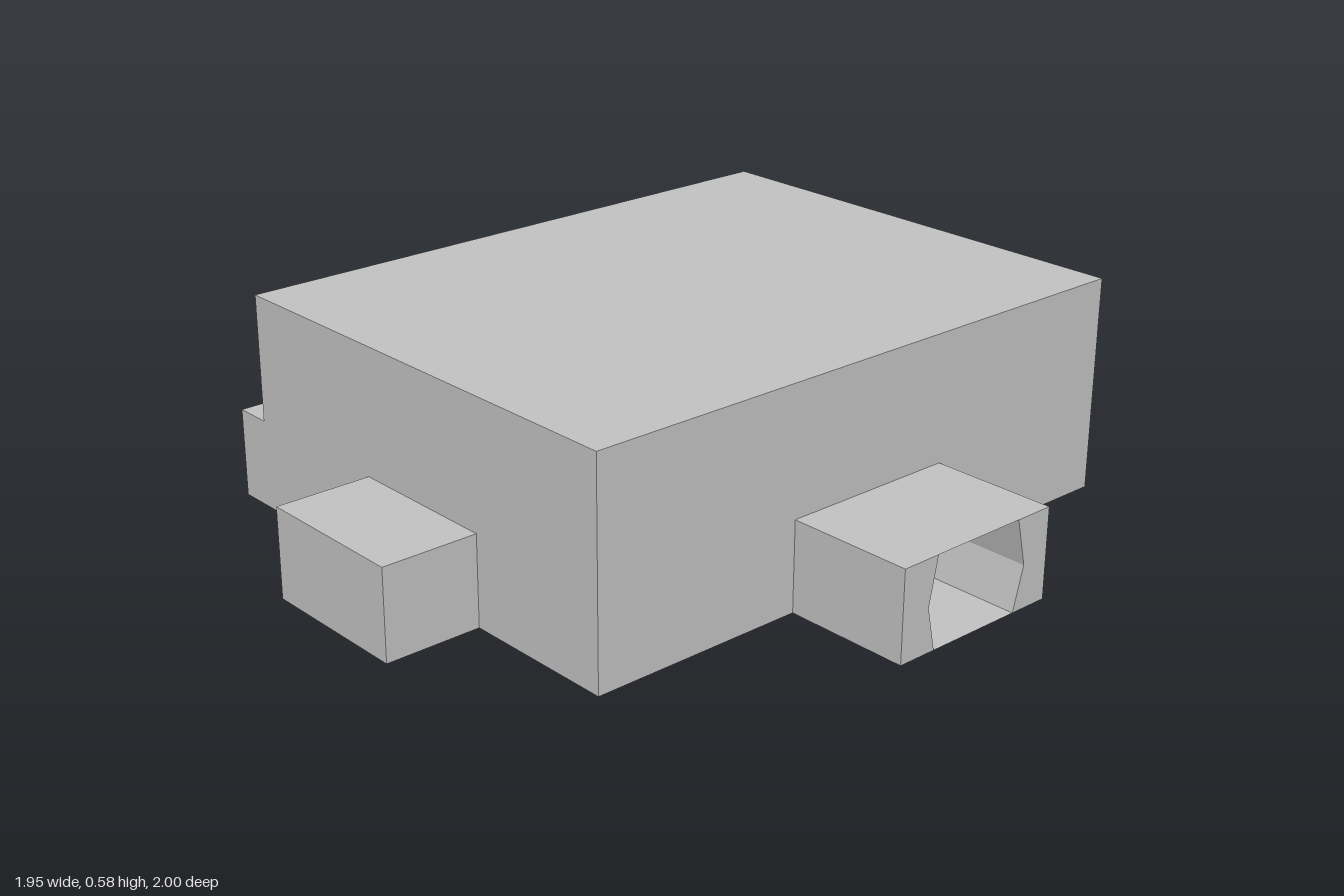
import * as THREE from 'three';

export function createModel() {
  const model = new THREE.Group();
  const grey = new THREE.MeshStandardMaterial({ color: 0xc0c0c0 });
  grey.name = 'plain grey';
  const greySheet = new THREE.MeshStandardMaterial({ color: 0xc0c0c0, side: THREE.DoubleSide });
  greySheet.name = 'plain grey sheet';

  const LOW = 0.24, HIGH = 0.58, MID = 0.115;
  const LEFT = -0.715, RIGHT = 0.97;            // main body sides
  const BACK = -0.655, FRONT = 0.66, STEP = -0.76;
  const PORT = [-0.12, 0.375];                  // port block sides
  // hexagonal passage walls, bottom to top
  const wallA = [[-0.01, 0], [-0.035, MID], [-0.01, LOW]];
  const wallB = [[0.265, 0], [0.295, MID], [0.265, LOW]];

  const add = (name, geometry, material = grey) => {
    const mesh = new THREE.Mesh(geometry, material);
    mesh.name = name;
    model.add(mesh);
    return mesh;
  };

  // extrude a front-facing profile between two depths
  const prism = (name, points, z0, z1) => {
    const shape = new THREE.Shape(points.map(([x, y]) => new THREE.Vector2(x, y)));
    const geometry = new THREE.ExtrudeGeometry(shape, { depth: z1 - z0, bevelEnabled: false });
    add(name, geometry.translate(0, 0, z0));
  };

  // horizontal sheet closing the passage above or below
  const sheet = (name, y, z0, z1) => {
    const [x0, x1] = [wallA[0][0], wallB[0][0]];
    const geometry = new THREE.PlaneGeometry(x1 - x0, z1 - z0).rotateX(-Math.PI / 2);
    add(name, geometry.translate((x0 + x1) / 2, y, (z0 + z1) / 2), greySheet);
  };

  // low block pierced by the passage: two cheeks and a roof
  const piercedBlock = (name, x0, x1, z0, z1) => {
    prism(name + 'RightCheek', [[x0, 0], ...wallA, [x0, LOW]], z0, z1);
    prism(name + 'LeftCheek', [[x1, 0], [x1, LOW], ...[...wallB].reverse()], z0, z1);
    sheet(name + 'Roof', LOW, z0, z1);
  };

  // main body with the passage cut along its underside
  prism('mainBody', [
    [LEFT, 0], ...wallA, ...[...wallB].reverse(), [RIGHT, 0], [RIGHT, HIGH], [LEFT, HIGH],
  ], BACK, FRONT);

  // back step and the two open ports
  piercedBlock('backStep', LEFT, RIGHT, STEP, BACK);
  piercedBlock('frontPort', ...PORT, FRONT, 1);
  piercedBlock('backPort', ...PORT, -1, STEP);
  sheet('passageFloor', 0, -1, 1);

  // solid side block
  add('sideBlock', new THREE.BoxGeometry(0.26, LOW, 0.425)).position.set(-0.845, LOW / 2, 0.0225);

  return model;
}
